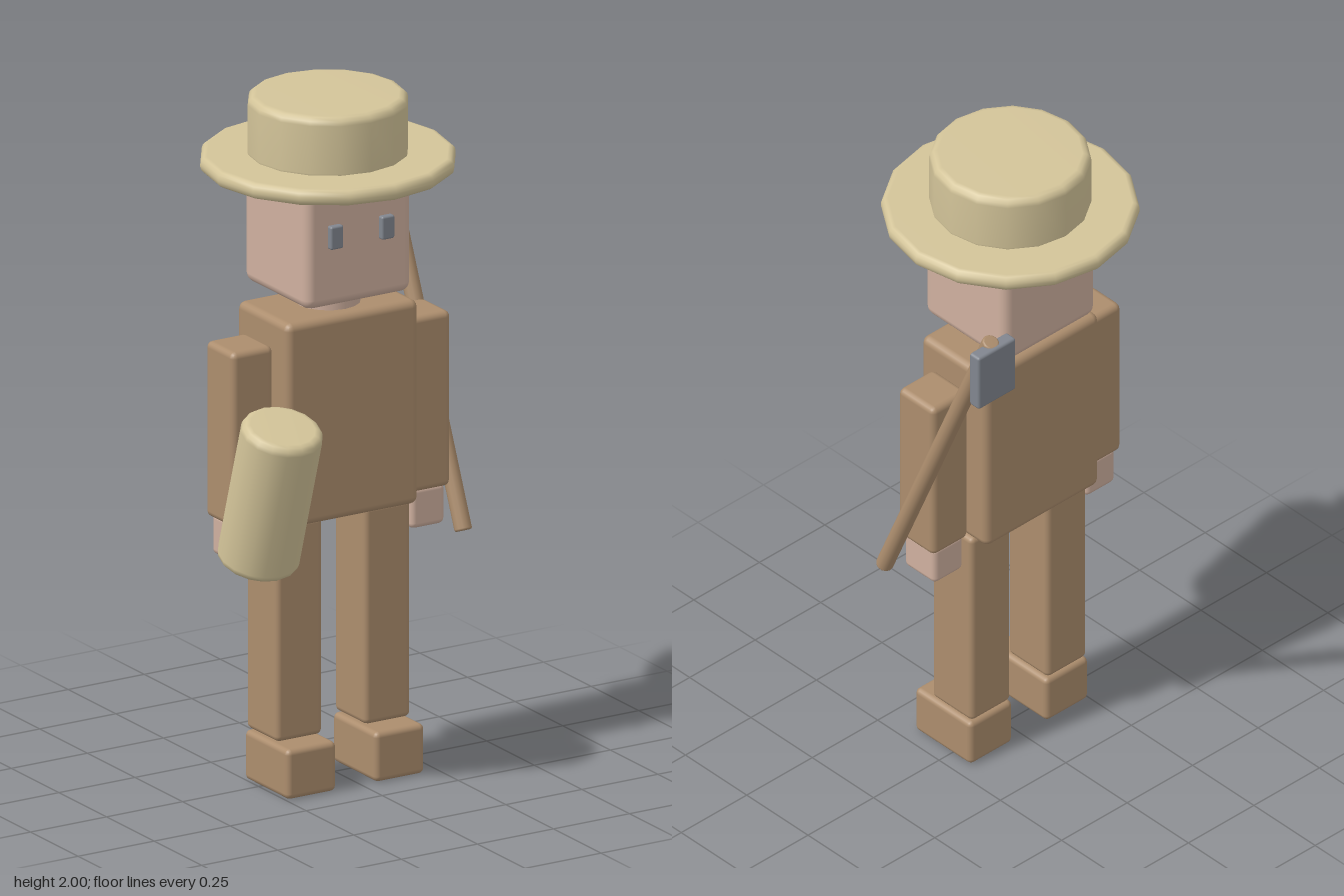
import * as THREE from 'three';
import { RoundedBoxGeometry } from 'three/addons/geometries/RoundedBoxGeometry.js';

const material = (name, color) => {
  const m = new THREE.MeshStandardMaterial({ color });
  m.name = name;
  return m;
};

export function createModel() {
  const model = new THREE.Group();
  model.name = 'figure';
  const cloth = material('brown cloth', 0xac8d6d);
  const straw = material('straw', 0xd3c499);
  const skin = material('skin', 0xcfb09f);
  const steel = material('steel', 0x81868f);

  const add = (name, geometry, mat, x, y, z) => {
    const mesh = new THREE.Mesh(geometry, mat);
    mesh.name = name;
    mesh.position.set(x, y, z);
    model.add(mesh);
    return mesh;
  };

  // Box with softened edges, given by centre and size
  const box = (name, mat, [x, y, z], [w, h, d], bevel = 0.016) =>
    add(name, new RoundedBoxGeometry(w, h, d, 2, bevel), mat, x, y, z);

  // Upright drum with softened rims
  const drum = (name, mat, [x, y, z], r, h, bevel, sides = 16) => {
    const points = [new THREE.Vector2(0, -h / 2)];
    for (const s of [-1, 1]) {
      for (let i = 0; i <= 3; i++) {
        const a = (s < 0 ? i - 3 : i) * Math.PI / 6;
        points.push(new THREE.Vector2(
          r - bevel + bevel * Math.cos(a),
          s * (h / 2 - bevel) + bevel * Math.sin(a)));
      }
    }
    points.push(new THREE.Vector2(0, h / 2));
    return add(name, new THREE.LatheGeometry(points, sides), mat, x, y, z);
  };

  const cx = -0.022; // body centre line

  // Torso, neck and head
  box('torso', cloth, [cx, 1.09, 0], [0.434, 0.6, 0.27], 0.022);
  add('neck', new THREE.CylinderGeometry(0.092, 0.092, 0.1, 16), skin, cx, 1.41, 0);
  box('head', skin, [cx, 1.612, 0], [0.35, 0.36, 0.334], 0.028);

  // Hat
  drum('hatBrim', straw, [cx, 1.806, 0], 0.361, 0.048, 0.02);
  drum('hatCrown', straw, [cx, 1.905, 0], 0.227, 0.19, 0.025);

  // Paired parts: the left side is +x
  for (const [side, s] of [['left', 1], ['right', -1]]) {
    box(side + 'Eye', steel, [cx + s * 0.084, 1.64, 0.172], [0.042, 0.068, 0.026], 0.006);
    box(side + 'Arm', cloth, [cx + s * 0.292, 1.058, 0.002], [0.136, 0.515, 0.146], 0.018);
    box(side + 'Hand', skin, [cx + s * 0.29, 0.75, 0.002], [0.112, 0.12, 0.126]);
    box(side + 'Leg', cloth, [cx + s * 0.145, 0.47, 0.003], [0.152, 0.64, 0.164]);
    box(side + 'Foot', cloth, [cx + s * 0.145, 0.073, 0.035], [0.163, 0.146, 0.23]);
  }

  // Rolled bundle leaning outwards beside the right arm
  drum('bundle', straw, [-0.312, 0.916, 0.16], 0.117, 0.455, 0.025).rotation.x = 0.3;

  // Tool: slanted shaft with a flat blade behind its top
  drum('toolShaft', cloth, [0.352, 1.194, -0.1035], 0.025, 1.12, 0.006, 12).rotation.x = -0.4;
  box('toolBlade', steel, [0.354, 1.612, -0.33], [0.143, 0.18, 0.04], 0.008);

  return model;
}
